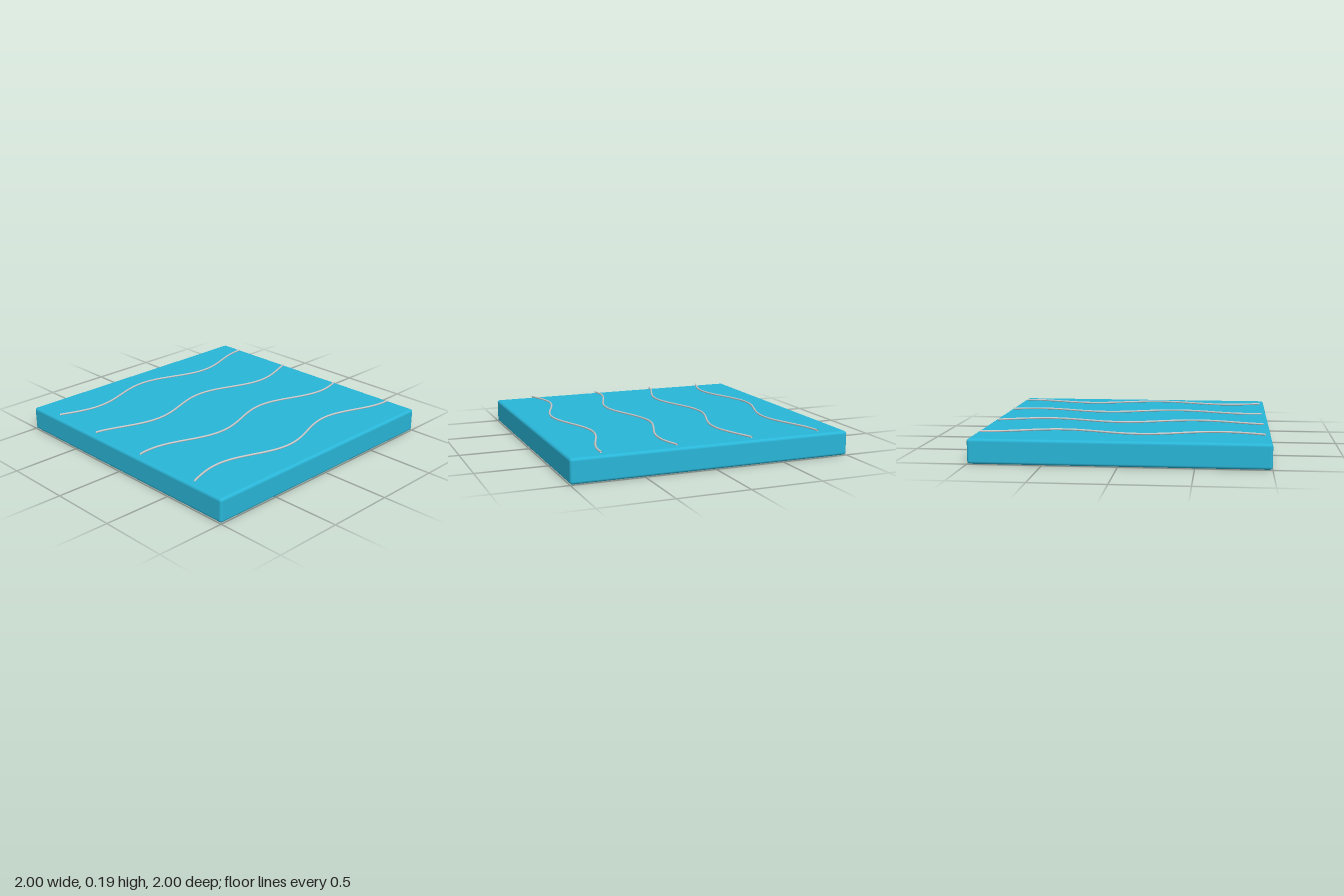
import * as THREE from 'three';
import { RoundedBoxGeometry } from 'three/addons/geometries/RoundedBoxGeometry.js';

class RippleCurve extends THREE.Curve {
  constructor(z, phase) {
    super();
    this.z = z;
    this.phase = phase;
  }
  getPoint(t, target = new THREE.Vector3()) {
    const x = THREE.MathUtils.lerp(-0.96, 0.96, t);
    const wave = Math.cos(5.82 * (x + 0.665) - this.phase);
    return target.set(x, 0.185, this.z + 0.065 * wave);
  }
}

export function createModel() {
  const model = new THREE.Group();
  model.name = 'waterTile';

  // Slab with softly rounded edges
  const water = new THREE.MeshStandardMaterial({ color: 0x29b6d8 });
  const slab = new THREE.Mesh(new RoundedBoxGeometry(2, 0.17, 2, 4, 0.02), water);
  slab.name = 'slab';
  slab.position.y = 0.085;
  model.add(slab);

  // Four thin ripple lines just above the slab, each shifted along the wave
  const line = new THREE.MeshStandardMaterial({ color: 0xcccccc, side: THREE.DoubleSide });
  for (let i = 0; i < 4; i++) {
    const curve = new RippleCurve(-0.72 + 0.48 * i, i);
    const ripple = new THREE.Mesh(new THREE.TubeGeometry(curve, 64, 0.007, 8), line);
    ripple.name = `ripple${i + 1}`;
    model.add(ripple);
  }
  return model;
}
